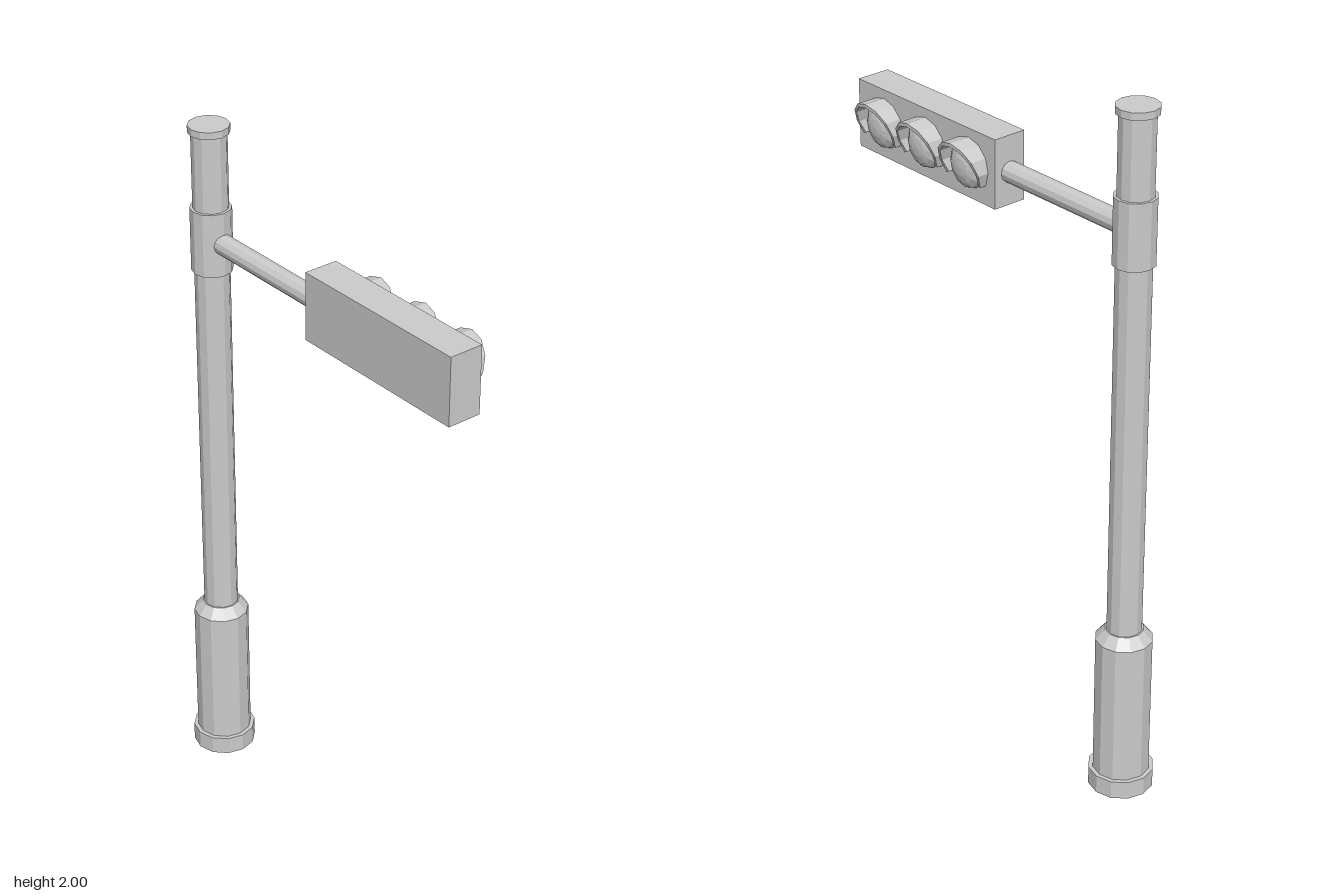
import * as THREE from 'three';

const SIDES = 12;
const POLE_X = -0.013, POLE_Z = -0.464;
const ARM_Y = 1.674;

const material = new THREE.MeshStandardMaterial({ color: 0xcccccc, flatShading: true });

function part(name, geometry, x = 0, y = 0, z = 0) {
  const mesh = new THREE.Mesh(geometry, material);
  mesh.name = name;
  mesh.position.set(x, y, z);
  return mesh;
}

// Upright cylinder between two heights
function drum(name, rBottom, rTop, y0, y1) {
  return part(name, new THREE.CylinderGeometry(rTop, rBottom, y1 - y0, SIDES), 0, (y0 + y1) / 2, 0);
}

// Thick arched hood along +x, open below, with a slanted front edge
function hoodGeometry(outer, inner) {
  const steps = 8, pos = [], index = [];
  const front = (y) => 0.033 + 0.03 * (y / outer);
  for (let i = 0; i <= steps; i++) {
    const a = THREE.MathUtils.degToRad(-30 + 30 * i);
    const s = Math.sin(a), c = Math.cos(a);
    const f = front(outer * s);
    pos.push(0, outer * s, outer * c, f, outer * s, outer * c);
    pos.push(f, inner * s, inner * c, 0, inner * s, inner * c);
  }
  for (let i = 0; i < steps; i++) {
    for (let j = 0; j < 4; j++) {
      const k = (j + 1) % 4;
      const a = i * 4 + j, b = i * 4 + k, c = b + 4, d = a + 4;
      index.push(a, b, c, a, c, d);
    }
  }
  const n = steps * 4;
  index.push(0, 2, 1, 0, 3, 2, n, n + 1, n + 2, n, n + 2, n + 3);
  const g = new THREE.BufferGeometry();
  g.setAttribute('position', new THREE.Float32BufferAttribute(pos, 3));
  g.setIndex(index);
  const flat = g.toNonIndexed();
  flat.computeVertexNormals();
  return flat;
}

export function createModel() {
  const model = new THREE.Group();
  model.name = 'trafficSignal';

  // Post: stepped base, shaft, collar and cap
  const post = new THREE.Group();
  post.name = 'post';
  post.position.set(POLE_X, 0, POLE_Z);
  post.add(
    drum('baseFlange', 0.091, 0.091, 0, 0.054),
    drum('baseSleeve', 0.079, 0.079, 0.054, 0.473),
    drum('baseShoulder', 0.079, 0.053, 0.473, 0.503),
    drum('shaft', 0.049, 0.049, 0.503, 1.982),
    drum('armCollar', 0.057, 0.057, 1.58, 1.764),
    drum('cap', 0.057, 0.057, 1.98, 2.0)
  );
  model.add(post);

  // Horizontal arm from collar to signal box
  const armGeo = new THREE.CylinderGeometry(0.029, 0.029, -POLE_Z + 0.01, SIDES).rotateX(Math.PI / 2);
  model.add(part('arm', armGeo, POLE_X, ARM_Y - 0.002, (POLE_Z + 0.01) / 2));

  // Signal box
  model.add(part('signalBox', new THREE.BoxGeometry(0.099, 0.194, 0.556), -0.0125, 1.676, 0.278));

  // Three hooded lamps on the +x face
  const lensGeo = new THREE.SphereGeometry(0.064, SIDES, 4, 0, Math.PI * 2, 0, Math.PI / 2)
    .rotateZ(-Math.PI / 2).scale(0.5, 1, 1);
  const hoodGeo = hoodGeometry(0.077, 0.067);
  for (const z of [0.104, 0.277, 0.45]) {
    const lamp = new THREE.Group();
    lamp.name = 'lamp';
    lamp.position.set(0.037, 1.671, z);
    lamp.add(part('lens', lensGeo), part('hood', hoodGeo));
    model.add(lamp);
  }
  return model;
}
